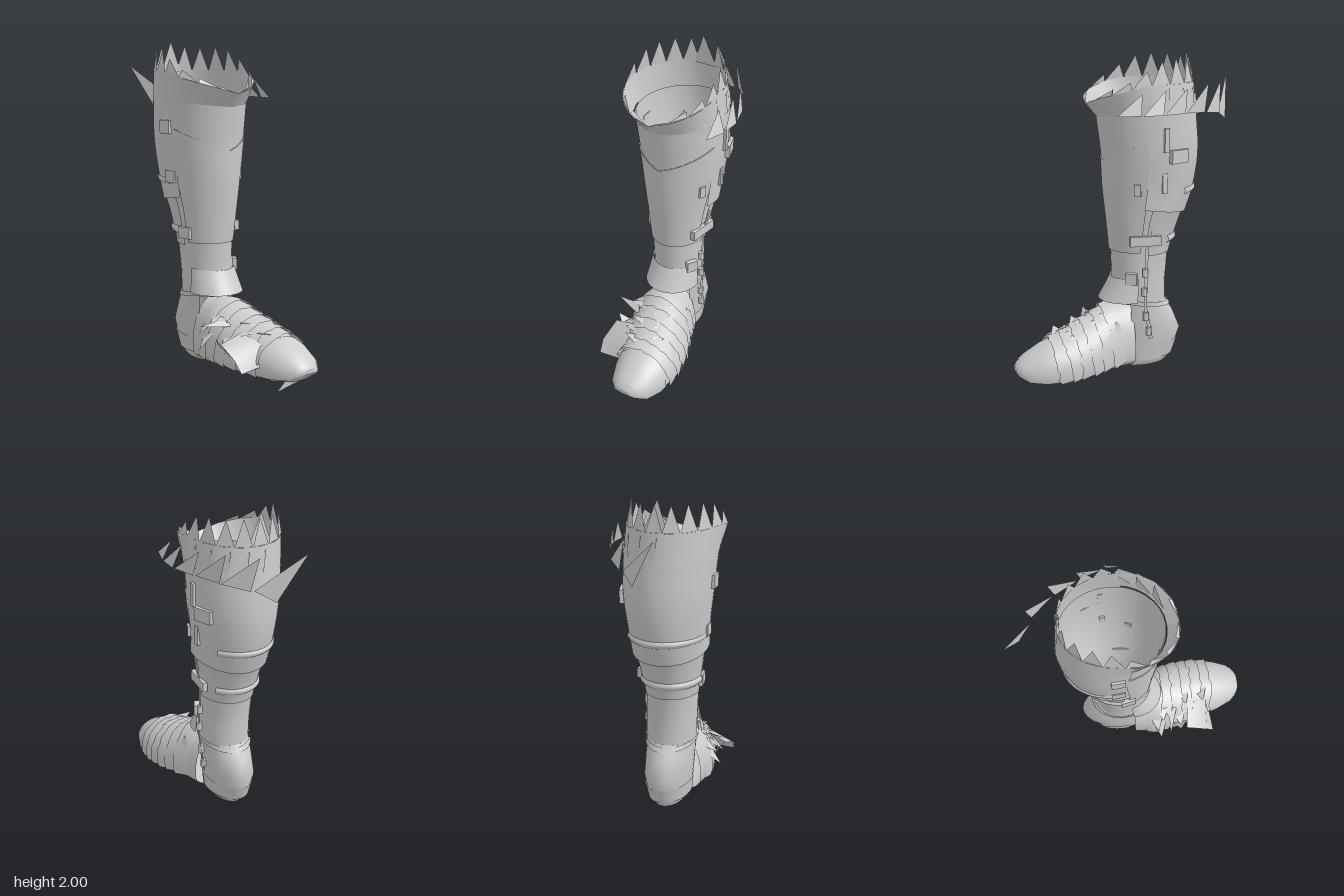
import * as THREE from 'three';

const steel = new THREE.MeshStandardMaterial({ color: 0xcccccc, side: THREE.DoubleSide });
steel.name = 'plain steel';

// Leg sections: y, front z, back z, right x, left x
const LEG = [
  [0.05, 0.05, -0.27, -0.11, 0.07], [0.09, 0.08, -0.31, -0.14, 0.1], [0.26, 0.09, -0.37, -0.16, 0.12],
  [0.38, 0.09, -0.32, -0.165, 0.125], [0.47, 0.08, -0.265, -0.17, 0.13], [0.6, 0.07, -0.265, -0.175, 0.135],
  [0.8, 0.075, -0.285, -0.185, 0.125], [1.0, 0.095, -0.345, -0.21, 0.155], [1.18, 0.115, -0.43, -0.24, 0.185],
  [1.4, 0.125, -0.465, -0.275, 0.22], [1.65, 0.155, -0.445, -0.295, 0.225], [1.9, 0.18, -0.42, -0.3, 0.2]];
// Foot sections: z, centre x, half width, top y, bottom y
const FOOT = [
  [-0.03, -0.02, 0.165, 0.46, 0.06], [0.1, -0.005, 0.195, 0.455, 0.06], [0.25, 0.035, 0.21, 0.38, 0.055],
  [0.4, 0.07, 0.195, 0.32, 0.045], [0.55, 0.085, 0.165, 0.27, 0.045], [0.65, 0.09, 0.125, 0.215, 0.065],
  [0.7, 0.09, 0.08, 0.175, 0.1], [0.715, 0.09, 0.045, 0.15, 0.12]];

function sample(table, t) {
  let i = 0;
  while (i < table.length - 2 && t > table[i + 1][0]) i++;
  const a = table[i], b = table[i + 1];
  const k = (t - a[0]) / (b[0] - a[0]);
  return a.map((v, n) => v + (b[n] - v) * k);
}

// Point around the leg; angle 0 is the front, a quarter turn is the left
function legPoint(y, a, off = 0) {
  const [, f, b, r, l] = sample(LEG, y);
  return [(l + r) / 2 + ((l - r) / 2 + off) * Math.sin(a), y, (f + b) / 2 + ((f - b) / 2 + off) * Math.cos(a)];
}

// Point around the foot; angle 0 is the left side, a quarter turn is the top
function footPoint(z, a, off = 0) {
  const [, xc, hw, top, bottom] = sample(FOOT, z);
  const mid = bottom + (top - bottom) * 0.3, s = Math.sin(a);
  const y = s > 0 ? mid + (top - mid + off) * s : mid - (mid - bottom + off) * Math.pow(-s, 0.55);
  return [xc + (hw + off) * Math.cos(a), y, z];
}

function add(group, name, geometry) {
  const mesh = new THREE.Mesh(geometry, steel);
  mesh.name = name;
  group.add(mesh);
  return mesh;
}

// Skin over rows of points; rings may be closed and capped
function loft(rows, closed = false, capStart = false, capEnd = false) {
  const n = rows[0].length, pos = rows.flat(2), index = [];
  for (let i = 0; i < rows.length - 1; i++) {
    for (let j = 0; j < (closed ? n : n - 1); j++) {
      const k = (j + 1) % n, a = i * n + j, b = i * n + k, c = b + n, d = a + n;
      index.push(a, b, c, a, c, d);
    }
  }
  const cap = (r, flip) => {
    const base = pos.length / 3, centre = [0, 1, 2].map(c => rows[r].reduce((s, p) => s + p[c], 0) / n);
    rows[r].forEach(p => pos.push(...p));
    pos.push(...centre);
    for (let j = 0; j < n; j++) {
      const k = (j + 1) % n;
      index.push(base + n, base + (flip ? k : j), base + (flip ? j : k));
    }
  };
  if (capStart) cap(0, true);
  if (capEnd) cap(rows.length - 1, false);
  const g = new THREE.BufferGeometry();
  g.setAttribute('position', new THREE.Float32BufferAttribute(pos, 3));
  g.setIndex(index);
  g.computeVertexNormals();
  return g;
}

function triangles(list) {
  const g = new THREE.BufferGeometry();
  g.setAttribute('position', new THREE.Float32BufferAttribute(list.flat(2), 3));
  g.computeVertexNormals();
  return g;
}

const range = (n, a, b) => Array.from({ length: n + 1 }, (_, i) => a + (b - a) * i / n);

// Plate hugging the leg between two angles; low and high give its edges
function legPlate(low, high, a0, a1, off, steps = 6) {
  const angles = range(32, a0, a1);
  return loft(range(steps, 0, 1).map(t => angles.map(a =>
    legPoint(low(a) + (high(a) - low(a)) * t, a, off(t, a)))));
}

let seed = 7;
const random = () => (seed = (seed * 16807) % 2147483647) / 2147483647;

export function createModel() {
  const boot = new THREE.Group();
  boot.name = 'armoured boot';
  const TAU = Math.PI * 2;
  const around = range(32, 0, TAU).slice(0, 32);
  const heights = LEG.map(r => r[0]).slice(0, -1);

  // Leg tube, open at the top, and a heel cup that opens into the foot
  add(boot, 'leg', loft(heights.filter(y => y > 0.45).map(y => around.map(a => legPoint(y, a))), true));
  const cup = range(28, 1.05, TAU - 1.05);
  add(boot, 'heel', loft(heights.filter(y => y < 0.5).map(y => cup.map(a => legPoint(y, a))), false, true));

  // Forefoot with its sole
  const stations = [-0.03, 0.04, 0.1, 0.18, 0.25, 0.32, 0.4, 0.48, 0.55, 0.6, 0.65, 0.68, 0.7, 0.715];
  add(boot, 'forefoot', loft(stations.map(z => around.map(a => footPoint(z, a))), true, false, true));

  // Overlapping plates on the leg, with V-shaped edges at the front
  const vee = a => 1.36 + 0.1 * Math.abs(a);
  const turn = a => Math.abs(a > Math.PI ? TAU - a : a);
  const cuffLow = a => 1.62 + 0.025 * Math.min(1, turn(a));
  add(boot, 'shin plate', legPlate(() => 0.8, vee, -1.35, 1.35, () => 0.01));
  add(boot, 'knee plate', legPlate(vee, cuffLow, -1.35, 1.35, () => 0.006));
  add(boot, 'calf plate', legPlate(a => 1.07 + 0.04 * Math.cos(a), () => 1.65, 1.3, TAU - 1.3, t => 0.01 + 0.022 * (1 - t) ** 4));
  add(boot, 'lower calf plate', legPlate(() => 0.78, () => 1.07, 1.5, TAU - 1.5, t => 0.008 + 0.008 * t));
  add(boot, 'ankle guard', legPlate(() => 0.49, a => 0.65 - 0.02 * Math.cos(a), -1.3, 1.3,
    (t, a) => 0.008 + Math.cos(a) * 0.07 * (1 - t), 3));
  const bandLow = a => 0.46 + 0.03 * Math.cos(a);
  add(boot, 'ankle band', legPlate(bandLow, a => bandLow(a) + 0.03, 0, TAU, () => 0.01, 1));
  add(boot, 'heel band', legPlate(() => 0.1, () => 0.2, 1.3, TAU - 1.3, () => 0.006, 3));

  // Flared cuff, dipping to a point at the front
  const rim = a => 1.7 + 0.12 * Math.min(1, turn(a) / 1.4);
  const flare = a => 0.012 + 0.055 * Math.max(0, Math.cos(a)) + 0.02 * Math.max(0, -Math.sin(a)) * Math.max(0, Math.cos(a) + 0.4);
  add(boot, 'cuff', legPlate(cuffLow, rim, 0, TAU, (t, a) => 0.01 + (flare(a) - 0.01) * t, 3));

  // Jagged teeth round the rim, tallest behind
  const teeth = [], count = 17;
  for (let i = 0; i < count; i++) {
    const a = (i + 0.5) / count * TAU, w = TAU / count * 0.5;
    const back = Math.min(1, 0.75 - 0.75 * Math.cos(a)), lean = a < Math.PI ? 0.2 : -0.2;
    const tip = legPoint(rim(a), a + lean * (1 - back), flare(a) - 0.02);
    tip[1] = rim(a) + 0.015 + 0.125 * back + 0.02 * random();
    teeth.push([legPoint(rim(a - w), a - w, flare(a - w)), legPoint(rim(a + w), a + w, flare(a + w)), tip]);
  }
  teeth.push([legPoint(1.81, 2.85, 0.006), legPoint(1.81, 3.45, 0.006), legPoint(2, 3.15)]);
  // Leaning teeth on the left and back of the cuff
  for (let i = 0; i < 8; i++) {
    const a = 0.5 + i * 0.36;
    teeth.push([legPoint(1.66, a - 0.18, 0.015), legPoint(1.67, a + 0.18, 0.015), legPoint(1.8, a + 0.22, 0.02)]);
  }
  add(boot, 'rim teeth', triangles(teeth));

  // Loose fringe sweeping out behind the left side
  add(boot, 'loose fringe', triangles([
    [[0.08, 1.63, -0.57], [-0.01, 1.575, -0.655], [-0.16, 1.85, -0.72]],
    [[0.21, 1.65, -0.44], [0.1, 1.63, -0.57], [0.06, 1.82, -0.59]],
    [[0.28, 1.66, -0.29], [0.21, 1.65, -0.43], [0.19, 1.82, -0.46]],
    [[0.33, 1.66, -0.14], [0.29, 1.66, -0.28], [0.26, 1.8, -0.3]],
    [[0.33, 1.66, -0.01], [0.335, 1.66, -0.13], [0.29, 1.8, -0.16]],
    [[0.29, 1.66, 0.13], [0.33, 1.66, 0], [0.28, 1.78, -0.02]]]));

  // Straps behind the leg
  for (const [y, name] of [[1.17, 'upper strap'], [0.87, 'lower strap']]) {
    add(boot, name, legPlate(() => y - 0.025, () => y + 0.025, 2.2, TAU - 1.5, t => 0.012 + 0.016 * Math.sin(Math.PI * t), 4));
  }

  // Buckles: height, angle, width, tall
  for (const [y, a, w, h] of [[0.88, 1.45, 0.19, 0.06], [1.4, 1.9, 0.12, 0.08], [1.2, 1.1, 0.04, 0.07], [0.64, 1.05, 0.07, 0.07],
    [1.2, -1.5, 0.08, 0.07], [0.86, -1.4, 0.09, 0.07], [1.5, -1.5, 0.08, 0.08], [1.5, 1.65, 0.03, 0.14], [1.24, 1.65, 0.03, 0.12]]) {
    const b = add(boot, 'buckle', new THREE.BoxGeometry(w, h, 0.03));
    b.position.set(...legPoint(y, a, 0.012));
    b.rotation.y = a;
  }

  // Side hinge strip and its pins
  add(boot, 'hinge strip', loft(range(8, 0.25, 1.02).map(y => [1.48, 1.58].map(a => legPoint(y, a, 0.02)))));
  for (const y of [0.3, 0.4, 0.56, 0.68]) {
    const pin = add(boot, 'hinge pin', new THREE.CylinderGeometry(0.018, 0.018, 0.05, 8));
    pin.position.set(...legPoint(y, 1.5, 0.015));
  }

  // Layered lames over the instep, with uneven rear edges
  const lameArc = range(20, -0.25, Math.PI + 0.25);
  for (let i = 0; i < 6; i++) {
    const z = 0.04 + i * 0.07;
    const wave = lameArc.map(() => 0.02 * random());
    add(boot, 'instep lame', loft(range(3, 0, 1).map(t => lameArc.map((a, j) => {
      const p = footPoint(z + t * 0.1, a, 0.004 + 0.014 * t);
      p[2] += (0.03 * (Math.sin(a) - 0.6) + wave[j]) * t;
      return p;
    }))));
  }
  // Toe cap
  add(boot, 'toe cap', loft([0.5, 0.55, 0.6, 0.65, 0.69].map(z => lameArc.map(a => footPoint(z, a, 0.005)))));

  // Ragged shards over the instep, longest on the right
  const shards = [];
  for (let i = 0; i < 18; i++) {
    const z = 0.06 + 0.36 * i / 18, a = 0.5 + random() * 2.4;
    const reach = a > 1.6 ? 0.035 + 0.04 * random() : 0.025;
    shards.push([footPoint(z, a, 0.01), footPoint(z + 0.09, a - 0.35, 0.01), footPoint(z + 0.04, a + 0.2, reach)]);
  }
  shards.push([[-0.13, 0.37, 0.2], [-0.1, 0.33, 0.26], [-0.3, 0.35, 0.19]],
    [[-0.16, 0.2, 0.2], [-0.14, 0.13, 0.34], [-0.25, 0.29, 0.27]],
    [[0.05, 0.08, 0.68], [0, 0.06, 0.6], [-0.04, 0, 0.58]],
    [[0.19, 0.16, 0.58], [0.2, 0.1, 0.63], [0.24, 0.12, 0.56]]);
  add(boot, 'ragged shards', triangles(shards));

  // Loose side flap
  add(boot, 'side flap', loft([[[-0.24, 0.26, 0.31], [-0.1, 0.31, 0.33]], [[-0.25, 0.2, 0.45], [-0.06, 0.27, 0.46]],
    [[-0.24, 0.13, 0.5], [-0.08, 0.14, 0.49]]]));
  return boot;
}
